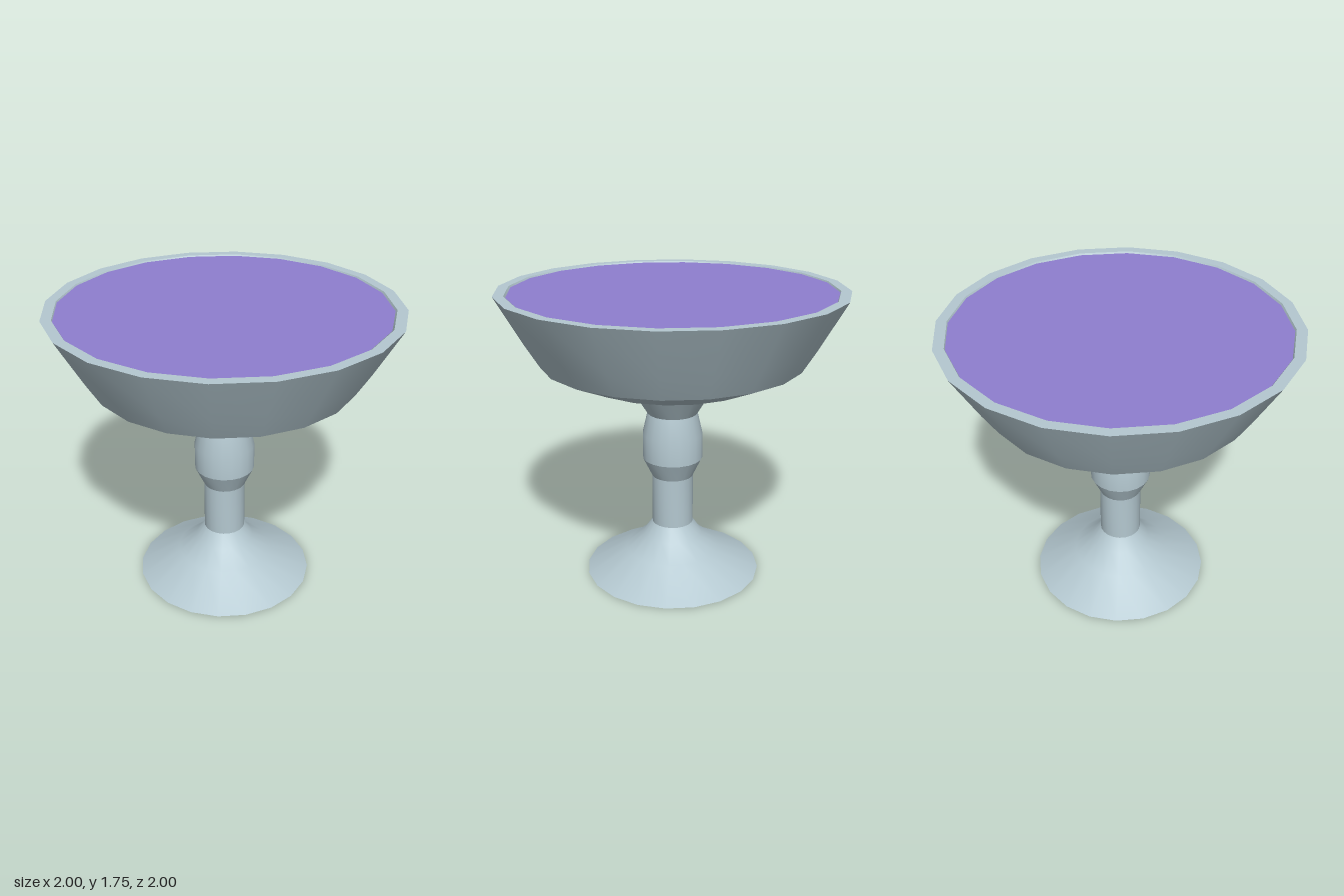
import * as THREE from 'three';
import { toCreasedNormals } from 'three/addons/utils/BufferGeometryUtils.js';

const SIDES = 20;

const metal = new THREE.MeshStandardMaterial({ color: 0xb4c8d0 });
metal.name = 'pale metal';
const drink = new THREE.MeshStandardMaterial({ color: 0x8f7ecf });
drink.name = 'purple drink';

// Turned part: profile of [radius, height], bottom to top on the outside
function turned(name, profile) {
  const points = profile.map(([r, y]) => new THREE.Vector2(r, y));
  const geometry = toCreasedNormals(new THREE.LatheGeometry(points, SIDES), 0.44);
  const mesh = new THREE.Mesh(geometry, metal);
  mesh.name = name;
  return mesh;
}

export function createModel() {
  const group = new THREE.Group();
  group.name = 'goblet';

  // Flared foot with a closed underside
  group.add(turned('foot', [[0, 0], [0.535, 0], [0.29, 0.14], [0.18, 0.23], [0.125, 0.31]]));

  // Stem with a swollen knop and a flared neck
  group.add(turned('stem', [
    [0.125, 0.31], [0.125, 0.62], [0.18, 0.735], [0.18, 0.89], [0.15, 1.02], [0.24, 1.165],
  ]));

  // Bowl: outer wall, flat rim, then the inner wall back down
  group.add(turned('bowl', [
    [0.24, 1.165], [0.53, 1.24], [0.765, 1.345], [0.85, 1.485], [1, 1.755],
    [0.94, 1.755], [0.8, 1.505], [0.72, 1.385], [0.5, 1.285], [0, 1.22],
  ]));

  // Drink surface just below the rim
  const surface = new THREE.Mesh(new THREE.CircleGeometry(0.934, SIDES), drink);
  surface.name = 'drink';
  surface.rotation.x = -Math.PI / 2;
  surface.position.set(0, 1.747, -0.004);
  group.add(surface);

  return group;
}
